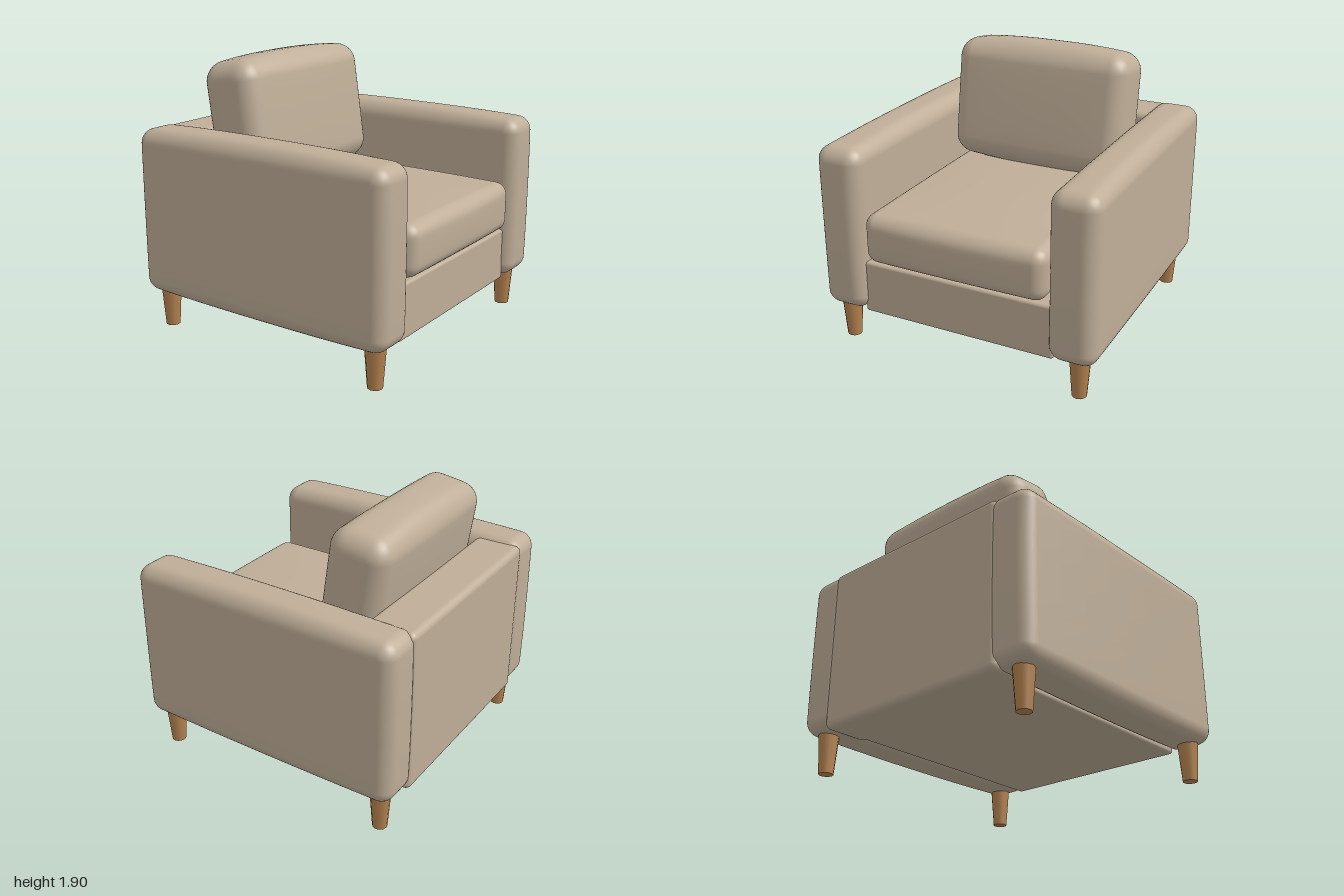
import * as THREE from 'three';
import { mergeVertices } from 'three/addons/utils/BufferGeometryUtils.js';

const fabric = new THREE.MeshStandardMaterial({ color: 0xbfae98 });
const wood = new THREE.MeshStandardMaterial({ color: 0xb5834f });

// Rounded block whose faces swell outward by puff = [x, y, z]
function cushionGeometry([w, h, d], radius, puff = [0, 0, 0]) {
  const n = 16;
  const geo = new THREE.BoxGeometry(2, 2, 2, n, n, n);
  geo.deleteAttribute('normal');
  geo.deleteAttribute('uv');
  const merged = mergeVertices(geo, 1e-4);
  const pos = merged.attributes.position;
  const half = [w / 2, h / 2, d / 2];
  const p = new THREE.Vector3(), core = new THREE.Vector3();
  // outer half of the grid bends around the rounded edge, inner half spans the flat
  const spread = (u, s) => {
    const a = Math.abs(u), inner = s - radius;
    const v = a <= 0.5 ? inner * a * 2 : inner + radius * Math.tan((a - 0.5) * Math.PI / 2);
    return Math.sign(u) * v;
  };
  for (let i = 0; i < pos.count; i++) {
    p.fromBufferAttribute(pos, i);
    const v = p.toArray().map((u, k) => spread(u, half[k]));
    p.fromArray(v);
    core.fromArray(v.map((c, k) => THREE.MathUtils.clamp(c, radius - half[k], half[k] - radius)));
    p.sub(core).setLength(radius).add(core);
    const q = p.toArray();
    const t = q.map((c, k) => c / half[k]);
    const fall = t.map((c) => 1 - Math.pow(Math.abs(c), 2.5));
    pos.setXYZ(i, ...q.map((c, k) => c + puff[k] * t[k] * fall[(k + 1) % 3] * fall[(k + 2) % 3]));
  }
  merged.computeVertexNormals();
  return merged;
}

function add(group, name, geometry, material, x, y, z) {
  const mesh = new THREE.Mesh(geometry, material);
  mesh.name = name;
  mesh.position.set(x, y, z);
  group.add(mesh);
  return mesh;
}

export function createModel() {
  const chair = new THREE.Group();
  chair.name = 'armchair';

  // Frame: seat base and backrest panel
  add(chair, 'seatBase', cushionGeometry([1.4, 0.375, 1.9], 0.02), fabric, 0, 0.4375, -0.02);
  add(chair, 'backPanel', cushionGeometry([1.5, 1.145, 0.34], 0.045), fabric, 0, 0.8225, -0.827);

  // Padded arms
  const armGeometry = cushionGeometry([0.33, 1.145, 1.98], 0.095, [0, 0.025, 0.01]);
  for (const [side, s] of [['left', 1], ['right', -1]]) {
    add(chair, side + 'Arm', armGeometry, fabric, s * 0.835, 0.84, 0);
  }

  // Loose cushions
  add(chair, 'seatCushion', cushionGeometry([1.31, 0.35, 1.65], 0.085, [0, 0.03, 0.015]), fabric, 0, 0.82, 0.16);
  const back = add(chair, 'backCushion', cushionGeometry([1.31, 0.83, 0.43], 0.125, [0, 0.04, 0.012]), fabric, 0, 1.437, -0.46);
  back.rotation.x = -0.145;

  // Tapered legs
  const legGeometry = new THREE.CylinderGeometry(0.07, 0.05, 0.27, 12);
  for (const [side, x] of [['Left', 0.86], ['Right', -0.86]]) {
    for (const [end, z] of [['front', 0.86], ['back', -0.86]]) {
      add(chair, end + side + 'Leg', legGeometry, wood, x, 0.135, z);
    }
  }
  return chair;
}
